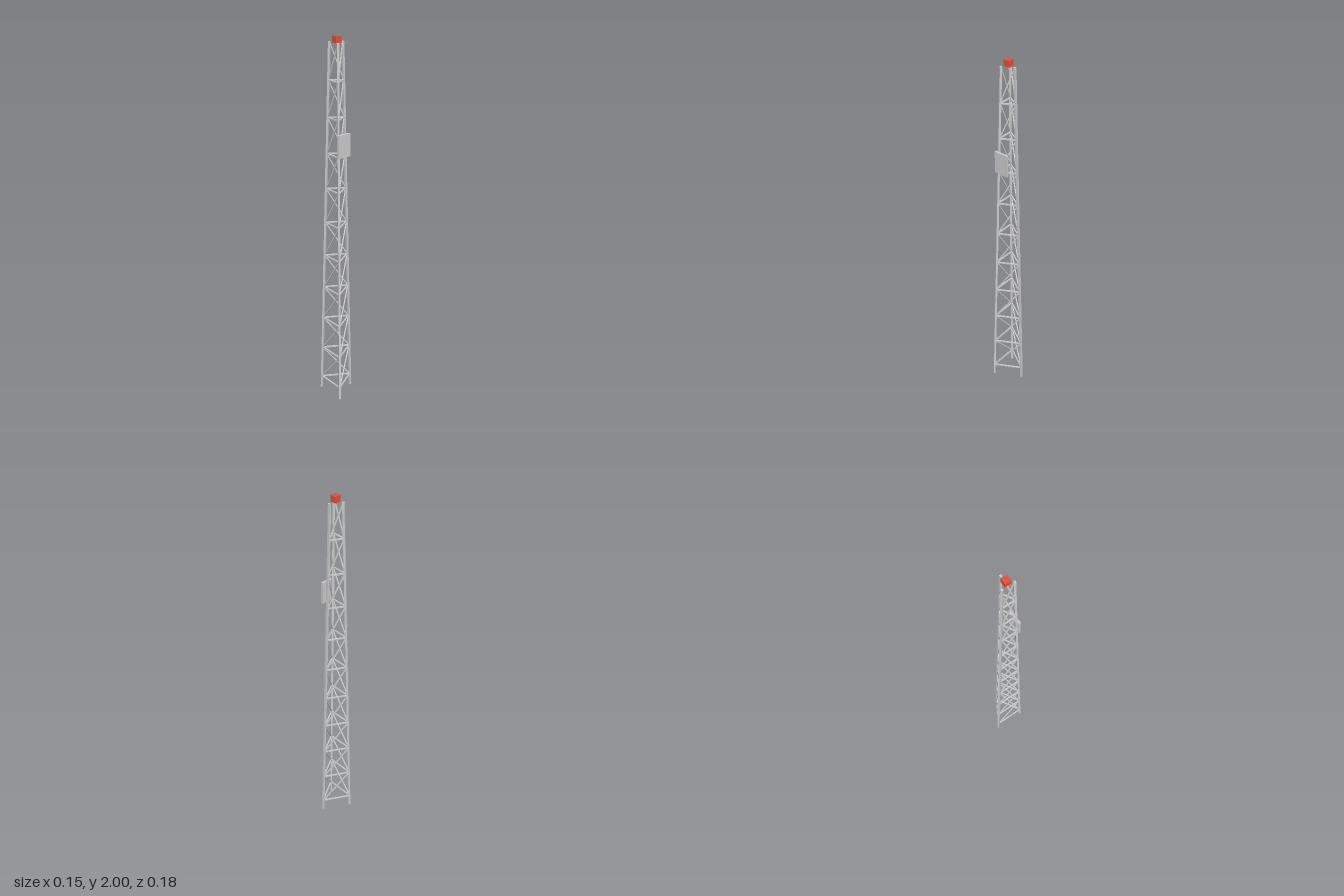
import * as THREE from 'three';

const CENTRE_X = -0.024;
const LEG_TOP = 1.97;
const grey = new THREE.MeshStandardMaterial({ color: 0xcccccc, flatShading: true });
const red = new THREE.MeshStandardMaterial({ color: 0xe0523c, flatShading: true });

// Point on the axis of leg i (0 = +x leg, 1 = front leg, 2 = back leg) at height y
function legPoint(i, y) {
  const radius = THREE.MathUtils.lerp(0.094, 0.038, y / LEG_TOP);
  const angle = (i * Math.PI * 2) / 3;
  return new THREE.Vector3(CENTRE_X + radius * Math.cos(angle), y, radius * Math.sin(angle));
}

// Square bar running from a to b
function bar(name, a, b, size) {
  const mesh = new THREE.Mesh(new THREE.BoxGeometry(size, size, a.distanceTo(b)), grey);
  mesh.name = name;
  mesh.position.copy(a).add(b).multiplyScalar(0.5);
  mesh.lookAt(b);
  return mesh;
}

function box(name, size, position, material) {
  const mesh = new THREE.Mesh(new THREE.BoxGeometry(...size), material);
  mesh.name = name;
  mesh.position.set(...position);
  return mesh;
}

export function createModel() {
  const mast = new THREE.Group();
  mast.name = 'latticeMast';

  // Three tapering legs
  for (let i = 0; i < 3; i++) {
    mast.add(bar('leg', legPoint(i, 0), legPoint(i, LEG_TOP), 0.011));
  }

  // Ten bays, each with a ring of horizontals and one diagonal per face
  const bay = 0.19;
  for (let level = 0; level < 10; level++) {
    const y = 0.07 + level * bay;
    const section = new THREE.Group();
    section.name = 'bay';
    for (let i = 0; i < 3; i++) {
      const next = (i + 1) % 3;
      section.add(bar('horizontalBrace', legPoint(i, y), legPoint(next, y), 0.007));
      section.add(bar('diagonalBrace', legPoint(next, y), legPoint(i, y + bay), 0.006));
    }
    mast.add(section);
  }

  // Flat panel on the front face and warning light at the top
  mast.add(box('panel', [0.079, 0.12, 0.012], [CENTRE_X, 1.46, 0.054], grey));
  mast.add(box('beacon', [0.033, 0.033, 0.033], [CENTRE_X, 1.9835, 0], red));

  return mast;
}
